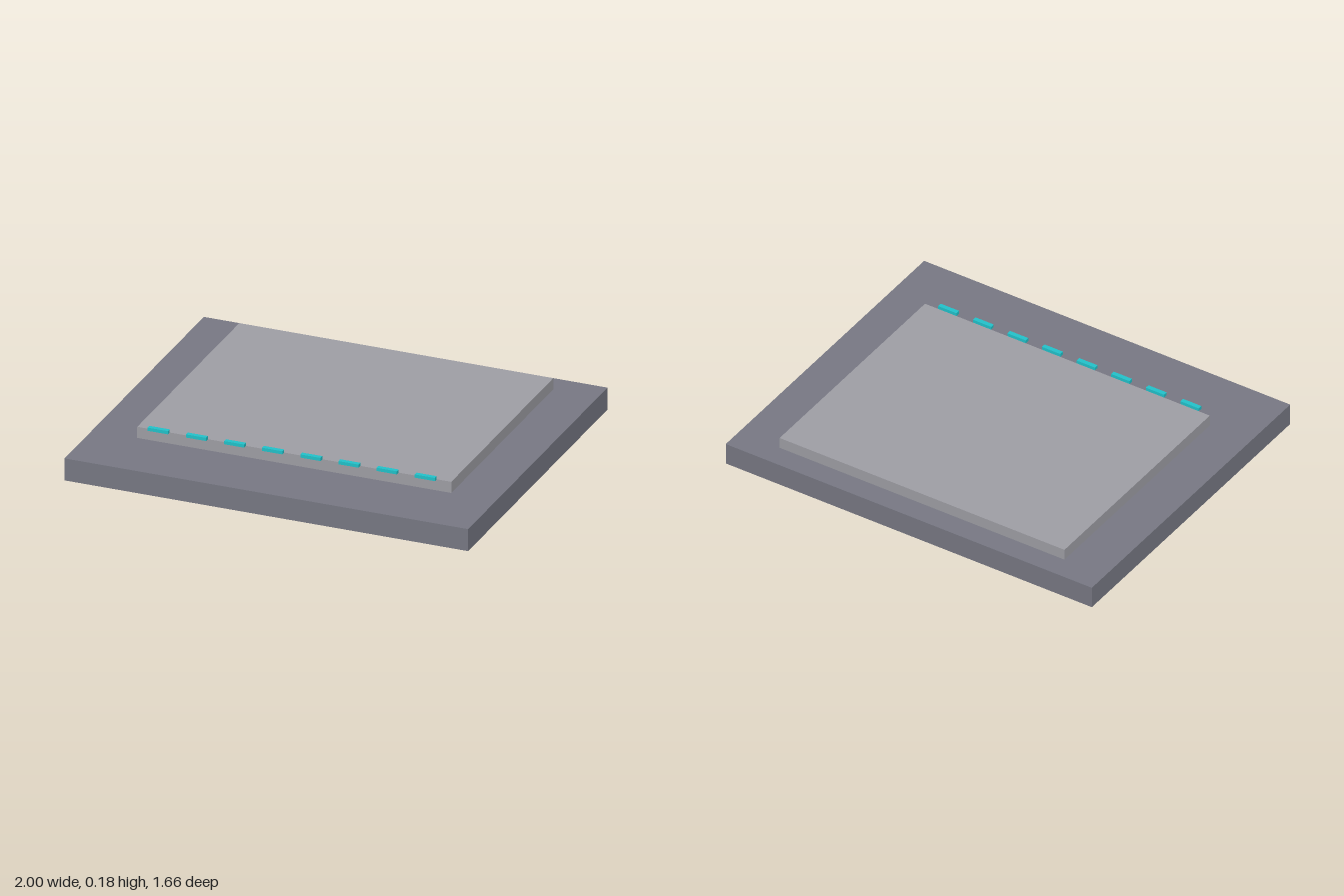
import * as THREE from 'three';

export function createModel() {
  const model = new THREE.Group();
  const darkGrey = new THREE.MeshStandardMaterial({ color: 0x787984 });
  const lightGrey = new THREE.MeshStandardMaterial({ color: 0x9f9fa6 });
  const cyan = new THREE.MeshStandardMaterial({ color: 0x22c3cb });
  darkGrey.name = 'darkGrey';
  lightGrey.name = 'lightGrey';
  cyan.name = 'cyan';

  // Adds a box standing on the given height
  function addBox(name, material, [w, h, d], [x, bottom, z]) {
    const mesh = new THREE.Mesh(new THREE.BoxGeometry(w, h, d), material);
    mesh.name = name;
    mesh.position.set(x, bottom + h / 2, z);
    model.add(mesh);
  }

  // Wide base and the raised platform set towards the back
  addBox('base', darkGrey, [2, 0.111, 1.662], [0, 0, 0]);
  addBox('platform', lightGrey, [1.556, 0.056, 1.218], [0, 0.111, -0.111]);

  // Row of edge lights along the platform's front lip
  for (let i = 0; i < 8; i++) {
    addBox(`edgeLight${i + 1}`, cyan, [0.1, 0.016, 0.022], [-0.667 + i * 0.189, 0.167, 0.509]);
  }

  return model;
}
